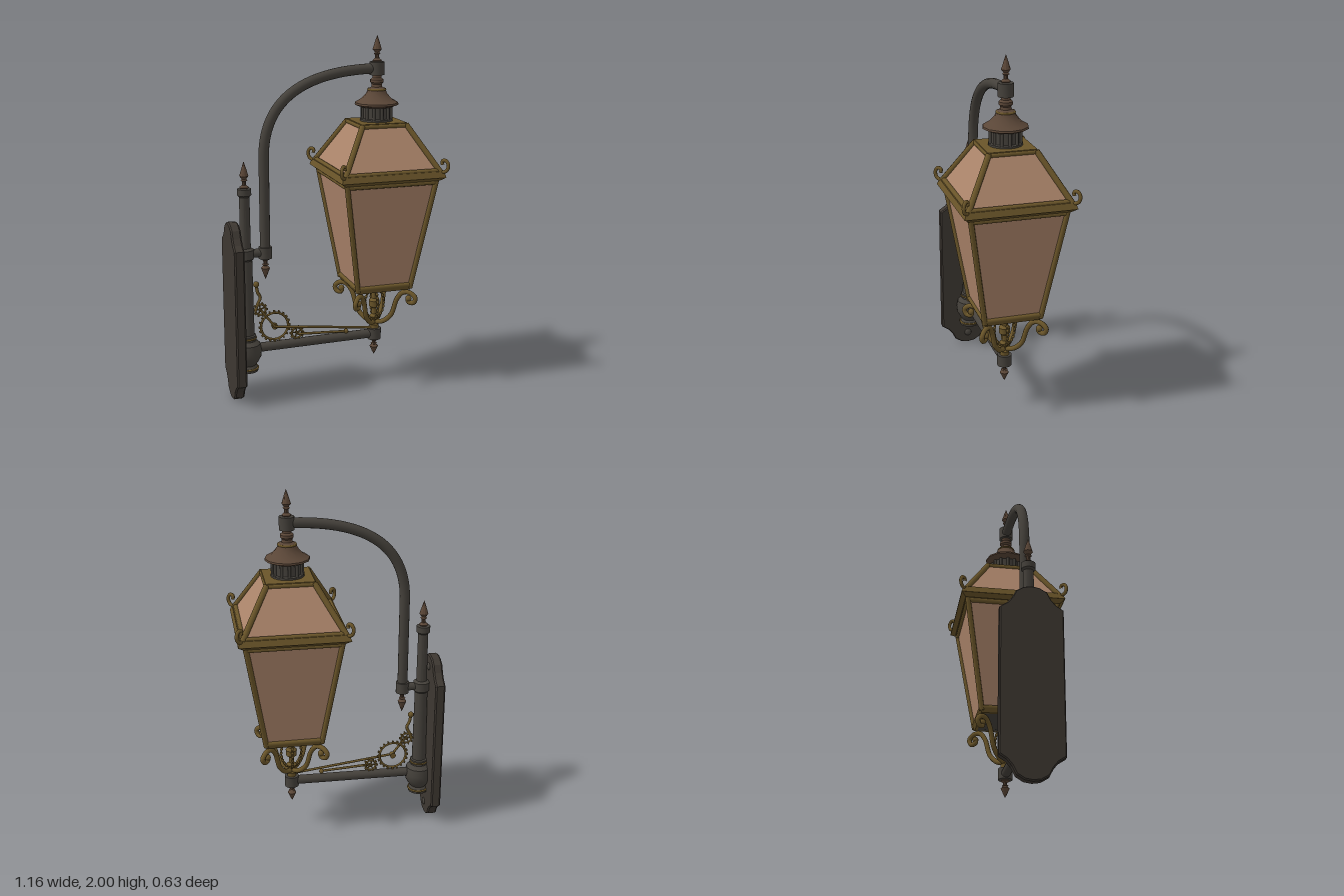
import * as THREE from 'three';
import { toCreasedNormals, mergeGeometries } from 'three/addons/utils/BufferGeometryUtils.js';

const material = (name, color) => {
  const m = new THREE.MeshStandardMaterial({ color });
  m.name = name;
  return m;
};

export function createModel() {
  const iron = material('dark iron', 0x45413b);
  const plateIron = material('wall plate iron', 0x3d3731);
  const brass = material('aged brass', 0x6a5529);
  const copper = material('brown copper', 0x5a4637);
  const glass = material('amber glass', 0xab846a);

  const model = new THREE.Group();
  model.name = 'wallLantern';
  const V = (x, y, z = 0) => new THREE.Vector3(x, y, z);
  const LX = 0.276, PX = -0.478, AX = -0.367; // lantern, post and arm axes

  const add = (name, geo, mat, x = 0, y = 0, z = 0, parent = model) => {
    const m = new THREE.Mesh(geo, mat);
    m.name = name;
    m.position.set(x, y, z);
    parent.add(m);
    return m;
  };
  const lathe = (name, mat, pts, x, y = 0, segs = 20) => add(name, toCreasedNormals(
    new THREE.LatheGeometry(pts.map(p => new THREE.Vector2(...p)), segs), 0.6), mat, x, y);
  const tubeGeo = (pts, r, segs = 32) => {
    const geo = new THREE.TubeGeometry(new THREE.CatmullRomCurve3(pts), segs, r, 8);
    return geo;
  };
  const rod = (name, mat, a, b, r, parent = model, sides = 10) => {
    const mid = a.clone().add(b).multiplyScalar(0.5);
    const m = add(name, new THREE.CylinderGeometry(r, r, a.distanceTo(b), sides), mat, mid.x, mid.y, mid.z, parent);
    m.quaternion.setFromUnitVectors(V(0, 1), b.clone().sub(a).normalize());
    return m;
  };
  const finial = (name, x, y, h, down = false) => {
    const pts = [[0.02, 0], [0.026, 0.06], [0.012, 0.14], [0.011, 0.27], [0.019, 0.31], [0.012, 0.36],
      [0.025, 0.47], [0.02, 0.58], [0.011, 0.78], [0.0, 1]].map(([r, t]) => [r, t * h]);
    const m = lathe(name, copper, pts, x, y, 10);
    if (down) m.rotation.x = Math.PI;
  };
  // Square frustum with half-widths a (bottom) and b (top)
  const frustum = (name, mat, a, b, y0, y1) => {
    const geo = new THREE.CylinderGeometry(b * Math.SQRT2, a * Math.SQRT2, y1 - y0, 4).rotateY(Math.PI / 4).toNonIndexed();
    geo.computeVertexNormals();
    return add(name, geo, mat, LX, (y0 + y1) / 2);
  };

  // Wall plate with ogee ends
  const half = [[0.04, 0.006], [0.08, 0.03], [0.1, 0.07], [0.125, 0.1], [0.163, 0.125]];
  const side = [...half, ...half.map(([z, y]) => [z, 1.02 - y]).reverse()];
  const outline = [[0, 0], ...side, [0, 1.02], ...side.map(([z, y]) => [-z, y]).reverse()];
  const plateShape = new THREE.Shape(outline.map(p => new THREE.Vector2(...p)));
  const plate = add('wallPlate', new THREE.ExtrudeGeometry(plateShape, {
    depth: 0.04, bevelEnabled: true, bevelSize: 0.006, bevelThickness: 0.008, bevelOffset: -0.006, bevelSegments: 1,
  }), plateIron, -0.567);
  plate.rotation.y = Math.PI / 2;
  for (const y of [0.07, 0.95]) {
    add('plateScrew', new THREE.SphereGeometry(0.022, 12, 8).scale(0.5, 1, 1), iron, -0.519, y);
  }

  // Post with its bulb, collars and finial
  lathe('post', iron, [[0, 0.155], [0.058, 0.155], [0.06, 0.17], [0.045, 0.19], [0.06, 0.21], [0.076, 0.24],
    [0.08, 0.275], [0.072, 0.315], [0.05, 0.335], [0.05, 0.365], [0.041, 0.37], [0.036, 0.8], [0.046, 0.81],
    [0.046, 0.86], [0.03, 0.87], [0.028, 1.155], [0.038, 1.165], [0.038, 1.2], [0, 1.205]], PX);
  for (const [y, r] of [[0.172, 0.057], [0.35, 0.048]]) {
    add('postRing', new THREE.TorusGeometry(r, 0.006, 6, 20).rotateX(Math.PI / 2), brass, PX, y);
  }
  finial('postFinial', PX, 1.2, 0.15);

  // Lower arm with end collar
  rod('lowerArm', iron, V(-0.43, 0.283), V(LX, 0.29), 0.026, model, 16);
  lathe('lowerCollar', iron, [[0, 0.255], [0.04, 0.258], [0.04, 0.322], [0, 0.325]], LX);
  finial('lowerFinial', LX, 0.257, 0.1, true);

  // Upper swan arm
  const arm = new THREE.CurvePath();
  arm.add(new THREE.LineCurve3(V(AX, 0.8), V(AX, 1.36)));
  arm.add(new THREE.CubicBezierCurve3(V(AX, 1.36), V(AX, 1.69), V(-0.12, 1.82), V(LX, 1.82)));
  add('upperArm', new THREE.TubeGeometry(arm, 60, 0.028, 14), iron);
  rod('armLink', iron, V(PX, 0.835), V(AX, 0.835), 0.024, model, 14);
  lathe('armCollar', iron, [[0, 0.8], [0.037, 0.802], [0.037, 0.866], [0, 0.868]], AX);
  finial('armFinial', AX, 0.805, 0.125, true);
  lathe('topCollar', iron, [[0, 1.782], [0.041, 1.785], [0.041, 1.856], [0, 1.86]], LX);
  finial('topFinial', LX, 1.855, 0.145);

  // Chimney: vent drum, flared cap and neck
  lathe('ventDrum', iron, [[0, 1.53], [0.09, 1.53], [0.09, 1.545], [0.078, 1.55], [0.078, 1.61], [0.09, 1.62]], LX, 0, 24);
  for (let i = 0; i < 12; i++) {
    const a = i * Math.PI / 6;
    add('ventRib', new THREE.CylinderGeometry(0.009, 0.009, 0.08, 6), iron,
      LX + 0.081 * Math.cos(a), 1.58, 0.081 * Math.sin(a));
  }
  lathe('chimneyCap', copper, [[0, 1.61], [0.09, 1.612], [0.122, 1.625], [0.12, 1.635], [0.085, 1.655],
    [0.058, 1.685], [0.05, 1.705], [0, 1.71]], LX, 0, 12);
  lathe('chimneyNeck', copper, [[0.05, 1.7], [0.05, 1.71], [0.03, 1.72], [0.028, 1.735], [0.036, 1.745],
    [0.036, 1.76], [0.025, 1.77], [0.025, 1.79]], LX, 0, 16);
  add('neckRing', new THREE.TorusGeometry(0.046, 0.007, 6, 20).rotateX(Math.PI / 2), brass, LX, 1.706);

  // Glass body and roof, with brass frame
  frustum('bodyGlass', glass, 0.153, 0.256, 0.6, 1.24);
  frustum('roofGlass', glass, 0.27, 0.125, 1.275, 1.525);
  frustum('roofTop', brass, 0.137, 0.13, 1.515, 1.535);
  frustum('rimLower', brass, 0.27, 0.295, 1.232, 1.252);
  frustum('rimUpper', brass, 0.297, 0.285, 1.252, 1.285);
  frustum('bodyFloor', brass, 0.155, 0.167, 0.588, 0.61);
  frustum('floorUnderside', iron, 0.06, 0.145, 0.572, 0.589);

  const cornerScroll = tubeGeo([[0.27, 1.275], [0.296, 1.29], [0.303, 1.32], [0.292, 1.345], [0.277, 1.34], [0.279, 1.322]]
    .map(([r, y]) => V(r * Math.SQRT2, y)), 0.01, 20);
  const bracket = tubeGeo([[0.01, 0.36], [0.04, 0.373], [0.075, 0.42], [0.1, 0.52], [0.125, 0.563], [0.155, 0.568],
    [0.18, 0.54], [0.17, 0.51], [0.148, 0.515], [0.15, 0.537]].map(([r, y]) => V(r * Math.SQRT2, y)), 0.014, 48);

  for (let i = 0; i < 4; i++) {
    const g = new THREE.Group();
    g.name = 'lanternSide';
    g.position.x = LX;
    g.rotation.y = i * Math.PI / 2;
    model.add(g);
    const bar = (name, a, b, r) => rod(name, brass, a, b, r, g, 8);
    bar('bodyCornerBar', V(0.155, 0.6, 0.155), V(0.257, 1.24, 0.257), 0.015);
    bar('roofCornerBar', V(0.272, 1.28, 0.272), V(0.126, 1.525, 0.126), 0.016);
    bar('bodyBottomBar', V(-0.157, 0.618, 0.157), V(0.157, 0.618, 0.157), 0.014);
    bar('bodyTopBar', V(-0.253, 1.222, 0.253), V(0.253, 1.222, 0.253), 0.014);
    bar('roofBottomBar', V(-0.266, 1.286, 0.266), V(0.266, 1.286, 0.266), 0.014);
    bar('roofTopBar', V(-0.128, 1.52, 0.128), V(0.128, 1.52, 0.128), 0.012);
    add('cornerScroll', cornerScroll, brass, 0, 0, 0, g).rotation.y = Math.PI / 4;
    add('scrollBracket', bracket, brass, 0, 0, 0, g).rotation.y = Math.PI / 4;
    add('scrollBead', new THREE.SphereGeometry(0.018, 10, 8), brass, 0.15, 0.533, 0.15, g);
  }

  // Stem beneath the lantern, with two crossed beaded loops
  lathe('stem', brass, [[0.026, 0.32], [0.026, 0.345], [0.015, 0.355], [0.015, 0.38], [0.03, 0.395], [0.015, 0.41],
    [0.015, 0.445], [0.03, 0.455], [0.032, 0.49], [0.018, 0.505], [0.018, 0.58]], LX, 0, 14);
  const beads = [new THREE.TorusGeometry(0.058, 0.005, 6, 32).scale(1, 1.6, 1)];
  for (let i = 0; i < 24; i++) {
    const a = i * Math.PI / 12;
    beads.push(new THREE.SphereGeometry(0.009, 6, 5).translate(0.058 * Math.cos(a), 0.093 * Math.sin(a), 0));
  }
  const loop = mergeGeometries(beads);
  for (const turn of [0, Math.PI / 2]) add('beadedLoop', loop, brass, LX, 0.47).rotation.y = turn;

  // Toothed wheels with hubs and spokes
  const wheel = (name, x, y, r, teeth, spokes) => {
    const t = Math.max(0.006, r * 0.08);
    const parts = [new THREE.TorusGeometry(r - t, t, 6, 32),
      new THREE.CylinderGeometry(r * 0.2, r * 0.2, 0.026, 12).rotateX(Math.PI / 2)];
    for (let i = 0; i < teeth; i++) {
      parts.push(new THREE.BoxGeometry(t * 2, t * 1.4, 0.014).translate(r, 0, 0).rotateZ(i * 2 * Math.PI / teeth));
    }
    for (let i = 0; i < spokes; i++) {
      parts.push(new THREE.BoxGeometry(r - t, t, 0.008).translate((r - t) / 2, 0, 0).rotateZ(0.5 + i * 2 * Math.PI / spokes));
    }
    add(name, mergeGeometries(parts), brass, x, y);
  };
  wheel('largeWheel', -0.32, 0.4, 0.085, 20, 0);
  wheel('upperWheel', -0.4, 0.505, 0.036, 10, 5);
  wheel('lowerWheel', -0.19, 0.345, 0.036, 10, 5);

  // Linkage rods and the bent lever
  rod('longRod', brass, V(-0.32, 0.4, 0.012), V(0.25, 0.33, 0.012), 0.007);
  rod('shortRod', brass, V(-0.19, 0.342, 0.014), V(0.1, 0.325, 0.014), 0.007);
  rod('wheelRod', brass, V(-0.4, 0.505, 0.012), V(-0.32, 0.4, 0.012), 0.007);
  add('rodEnd', new THREE.SphereGeometry(0.014, 10, 8), brass, 0.1, 0.325, 0.012);
  add('lever', tubeGeo([V(-0.422, 0.655), V(-0.415, 0.61), V(-0.4, 0.575), V(-0.415, 0.54), V(-0.43, 0.5)], 0.009), brass);
  add('leverKnob', new THREE.SphereGeometry(0.017, 10, 8), brass, -0.422, 0.655);

  return model;
}
